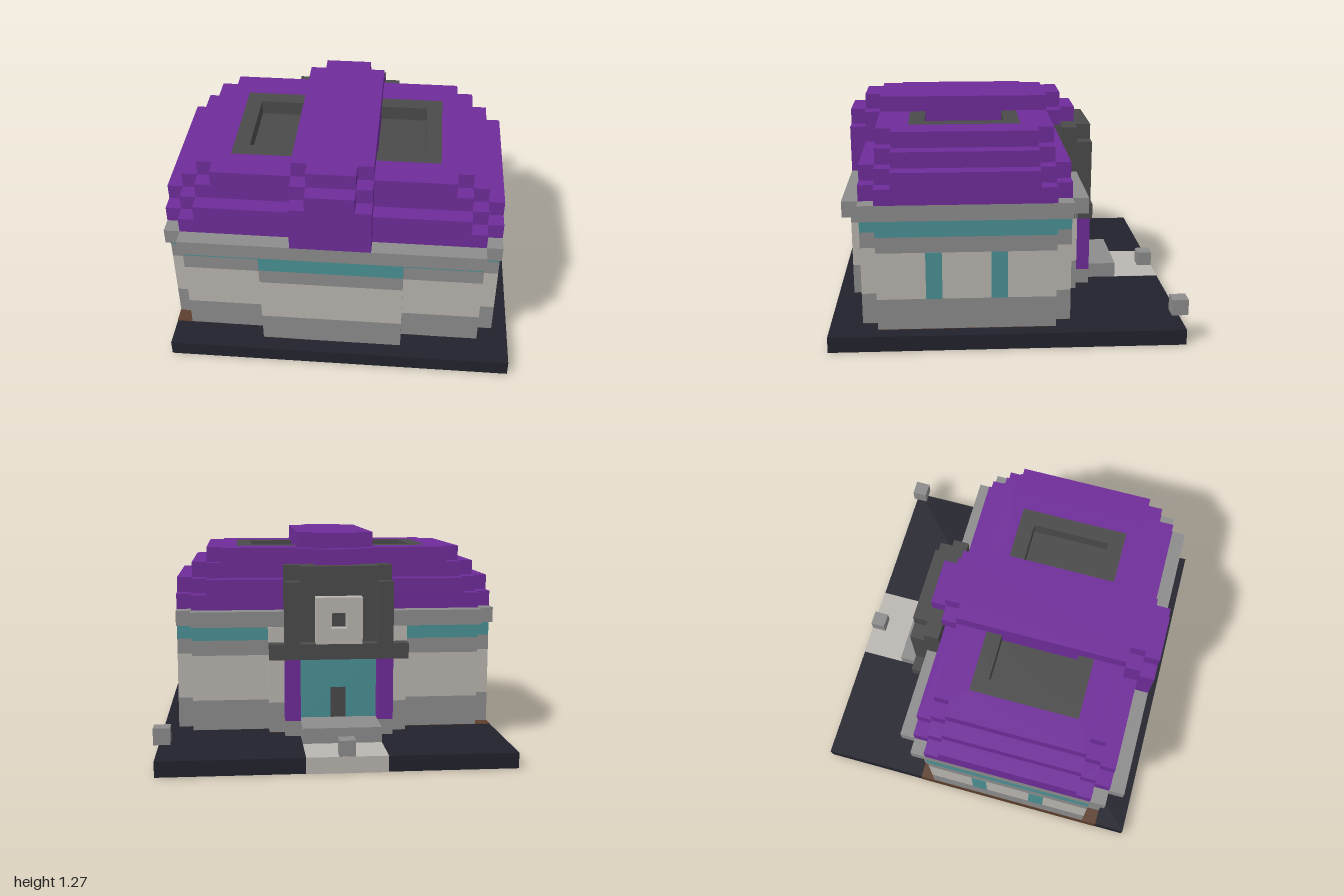
import * as THREE from 'three';

const U = 1 / 11;          // one block
const CX = -0.5, CZ = 2.5; // centre of the building, in blocks

const paint = (name, color) => {
  const m = new THREE.MeshStandardMaterial({ color });
  m.name = name;
  return m;
};

export function createModel() {
  const purple = paint('purple roof', 0x6f2c99);
  const teal = paint('teal', 0x4a9195);
  const grey = paint('stone grey', 0x8c8c8c);
  const light = paint('pale stone', 0xbab6b1);
  const dark = paint('dark grey', 0x4a4a4a);
  const ground = paint('dark ground', 0x22222d);
  const soil = paint('brown soil', 0x5c3f2d);

  const model = new THREE.Group();
  model.name = 'building';
  const add = (name, geometry, mat) => {
    const mesh = new THREE.Mesh(geometry, mat);
    mesh.name = name;
    model.add(mesh);
    return mesh;
  };

  // Box given by its limits in blocks
  const box = (name, mat, [x0, x1], [y0, y1], [z0, z1]) => {
    const g = new THREE.BoxGeometry((x1 - x0) * U, (y1 - y0) * U, (z1 - z0) * U);
    g.translate((x0 + x1) / 2 * U, (y0 + y1) / 2 * U, (z0 + z1) / 2 * U);
    return add(name, g, mat);
  };

  // Slab with stepped corners; steps are half sizes [x, z] about the building centre,
  // holes are [x0, x1, z0, z1]
  const slab = (name, mat, [y0, y1], steps, holes = []) => {
    const q = [];
    steps.forEach(([hx, hz], i) => {
      q.push([hx, hz]);
      if (steps[i + 1]) q.push([hx, steps[i + 1][1]]);
    });
    const r = [...q].reverse();
    const points = [
      ...q,
      ...r.map(([x, z]) => [x, -z]),
      ...q.map(([x, z]) => [-x, -z]),
      ...r.map(([x, z]) => [-x, z]),
    ];
    const toV = ([x, z]) => new THREE.Vector2(x * U, -z * U);
    const shape = new THREE.Shape(points.map(([x, z]) => toV([x + CX, z + CZ])));
    for (const [a, b, c, d] of holes) {
      shape.holes.push(new THREE.Path([[a, c], [a, d], [b, d], [b, c]].map(toV)));
    }
    const g = new THREE.ExtrudeGeometry(shape, { depth: (y1 - y0) * U, bevelEnabled: false });
    g.rotateX(-Math.PI / 2);
    g.translate(0, y0 * U, 0);
    return add(name, g, mat);
  };

  // Ground plate, soil under the building, path
  const wallPlan = [[4.5, 7.5], [9.5, 6.5], [10.5, 5.5]];
  box('groundPlate', ground, [-11, 11], [0.02, 1], [-11, 11]);
  slab('soil', soil, [0, 1.02], wallPlan, [[-8, 6, -1, 4]]);
  box('soilEdge', soil, [-11.02, -10], [0, 1.02], [-4, 9]);
  box('path', light, [-3, 2], [0, 1.02], [-11.02, -8]);

  // Wall courses
  slab('wallPlinth', grey, [1, 3], wallPlan);
  slab('wall', light, [3, 6], wallPlan);
  slab('wallBand', grey, [6, 7], wallPlan);
  slab('tealBand', teal, [7, 8], wallPlan);
  slab('eave', grey, [8, 9], [[9.5, 7.5], [10.5, 6.5]]);

  // Narrow side windows
  for (const x of [-11, 10]) {
    for (const z of [0, 4]) box('sideWindow', teal, [x - 0.03, x + 0.03], [3, 6], [z, z + 1]);
  }

  // Stepped roof
  slab('roofStep', purple, [9, 10], [[9.5, 6.5], [10.5, 5.5]]);
  slab('roofStep', purple, [10, 11], [[8.5, 6.5], [9.5, 5.5], [10.5, 4.5]]);
  slab('roofStep', purple, [11, 12], [[8.5, 5.5], [9.5, 4.5]]);
  slab('roofTop', purple, [12, 13], [[7.5, 5.5], [8.5, 4.5]], [[-7, -3, -1, 6], [2, 6, -1, 6]]);

  // Raised band over the roof
  box('ridgeFront', purple, [-3, 2], [9, 12], [5, 10]);
  slab('ridgeLower', purple, [12, 13], [[1.5, 7.5], [2.5, 6.5]]);
  slab('ridgeUpper', purple, [13, 14], [[1.5, 6.5], [2.5, 5.5]]);

  // Sunken roof wells with dark rims
  for (const side of [-1, 1]) {
    const span = (a, b) => [CX + side * a, CX + side * b].sort((p, q) => p - q);
    box('wellRim', dark, span(5.5, 6.5), [12, 13], [-1, 6]);
    box('wellRim', dark, span(2.5, 5.5), [12, 13], [-1, 0]);
    box('wellRim', dark, span(2.5, 5.5), [12, 13], [5, 6]);
    box('wellFloor', dark, span(2.5, 5.5), [12, 12.05], [0, 5]);
  }

  // Entrance at the back
  box('entranceBayTop', light, [-5.03, 4.03], [7, 8], [-5.03, -4]);
  box('doorStep', grey, [-4, 3], [1, 2], [-6, -5]);
  box('frontStep', grey, [-3, 2], [1, 2], [-8, -6]);
  box('entranceWall', teal, [-3, 2], [2, 6], [-5.08, -5]);
  box('doorway', dark, [-1, 0], [2, 4], [-5.11, -5.05]);
  for (const x of [-4, 2]) box('entrancePillar', purple, [x, x + 1], [2, 6], [-6, -5]);

  // Dark frame above the entrance
  box('frameLedge', dark, [-5, 4], [6, 7], [-6, -4]);
  for (const x of [-4, 2]) box('frameSide', dark, [x, x + 1], [7, 11], [-6, -4]);
  box('frameTop', dark, [-3, 2], [11, 12], [-6, -4]);
  for (const x of [-4, 2]) box('frameShoulder', dark, [x, x + 1], [11, 12], [-5, -4]);
  box('frameBack', dark, [-3, 2], [7, 11], [-5.05, -4]);

  // Square ring inside the frame
  for (const y of [7, 9]) box('ringBar', light, [-2, 1], [y, y + 1], [-6, -5]);
  for (const x of [-2, 0]) box('ringSide', light, [x, x + 1], [8, 9], [-6, -5]);

  // Small stone blocks
  box('pathBlock', grey, [-1, 0], [1, 2], [-11, -10]);
  box('cornerBlock', grey, [10, 11], [2, 3], [-11, -10]);

  return model;
}
